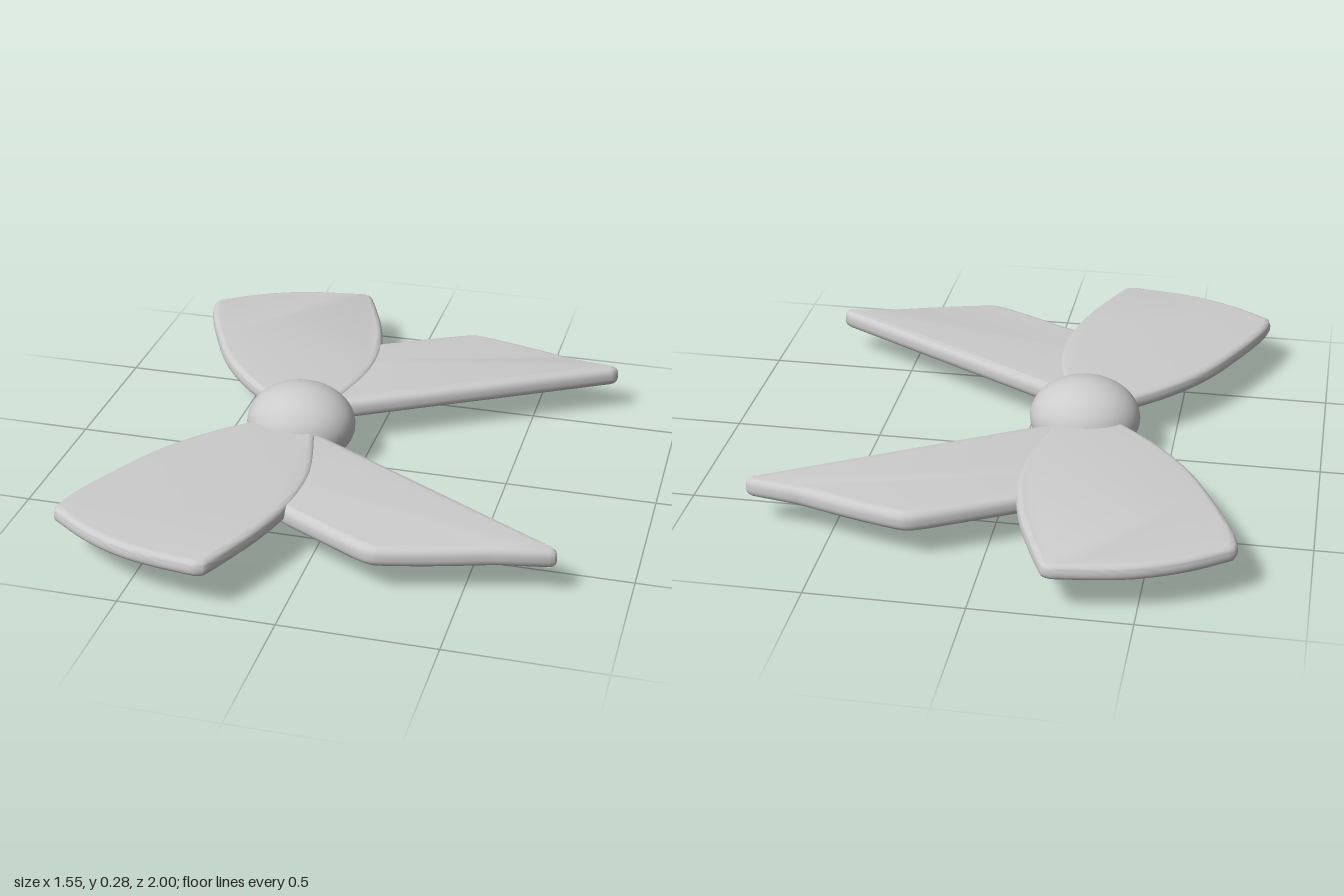
import * as THREE from 'three';
import { toCreasedNormals } from 'three/addons/utils/BufferGeometryUtils.js';

// Flat blade with rounded rims; outline is [x, distance from centre line], side mirrors it in z
function blade(name, edges, side, bottom, top, rim, material) {
  const outline = [];
  for (const edge of edges) {
    const pts = edge.map(([x, z]) => new THREE.Vector2(x, z * side));
    const run = pts.length > 2 ? new THREE.SplineCurve(pts).getPoints(pts.length * 4) : pts;
    outline.push(...run);
  }
  const thickness = top - bottom;
  const geo = new THREE.ExtrudeGeometry(new THREE.Shape(outline), {
    depth: thickness - 2 * rim,
    bevelThickness: rim,
    bevelSize: rim,
    bevelOffset: -rim,
    bevelSegments: 5,
  });
  geo.rotateX(Math.PI / 2);
  geo.translate(0, top - rim, 0);
  const mesh = new THREE.Mesh(toCreasedNormals(geo, 0.8), material);
  mesh.name = name;
  return mesh;
}

export function createModel() {
  const group = new THREE.Group();
  group.name = 'propeller';
  const material = new THREE.MeshStandardMaterial({ color: 0xcccccc });

  // Central hub
  const hub = new THREE.Mesh(new THREE.SphereGeometry(1, 48, 32), material);
  hub.name = 'hub';
  hub.scale.set(0.185, 0.138, 0.163);
  hub.position.set(-0.21, 0.138, 0);
  group.add(hub);

  // Broad blades: curved leading edge, tip, curved trailing edge
  const broad = [
    [[-0.34, 0.08], [-0.48, 0.21], [-0.6, 0.365], [-0.7, 0.56], [-0.76, 0.7], [-0.779, 0.78]],
    [[-0.772, 0.807], [-0.65, 0.89], [-0.52, 0.95], [-0.4, 0.98], [-0.25, 1.0]],
    [[-0.228, 0.993], [-0.205, 0.96], [-0.12, 0.75], [-0.075, 0.57], [-0.065, 0.43], [-0.08, 0.3], [-0.13, 0.1]],
  ];
  // Narrow blades: straight inner edge, pointed tip, angled outer edge running under the broad blade
  const narrow = [
    [[-0.16, 0.08], [0.755, 0.605]],
    [[0.772, 0.62], [0.774, 0.637], [0.755, 0.65]],
    [[0.6, 0.678], [0.42, 0.733], [0.27, 0.77], [0.22, 0.772], [0.17, 0.753]],
    [[-0.08, 0.62], [-0.39, 0.432]],
    [[-0.42, 0.405], [-0.435, 0.37], [-0.425, 0.33]],
    [[-0.3, 0.08], [-0.25, 0.05]],
  ];
  for (const [label, side] of [['front', 1], ['back', -1]]) {
    group.add(blade(label + 'BroadBlade', broad, side, 0.12, 0.175, 0.022, material));
    group.add(blade(label + 'NarrowBlade', narrow, side, 0.097, 0.167, 0.028, material));
  }
  return group;
}
